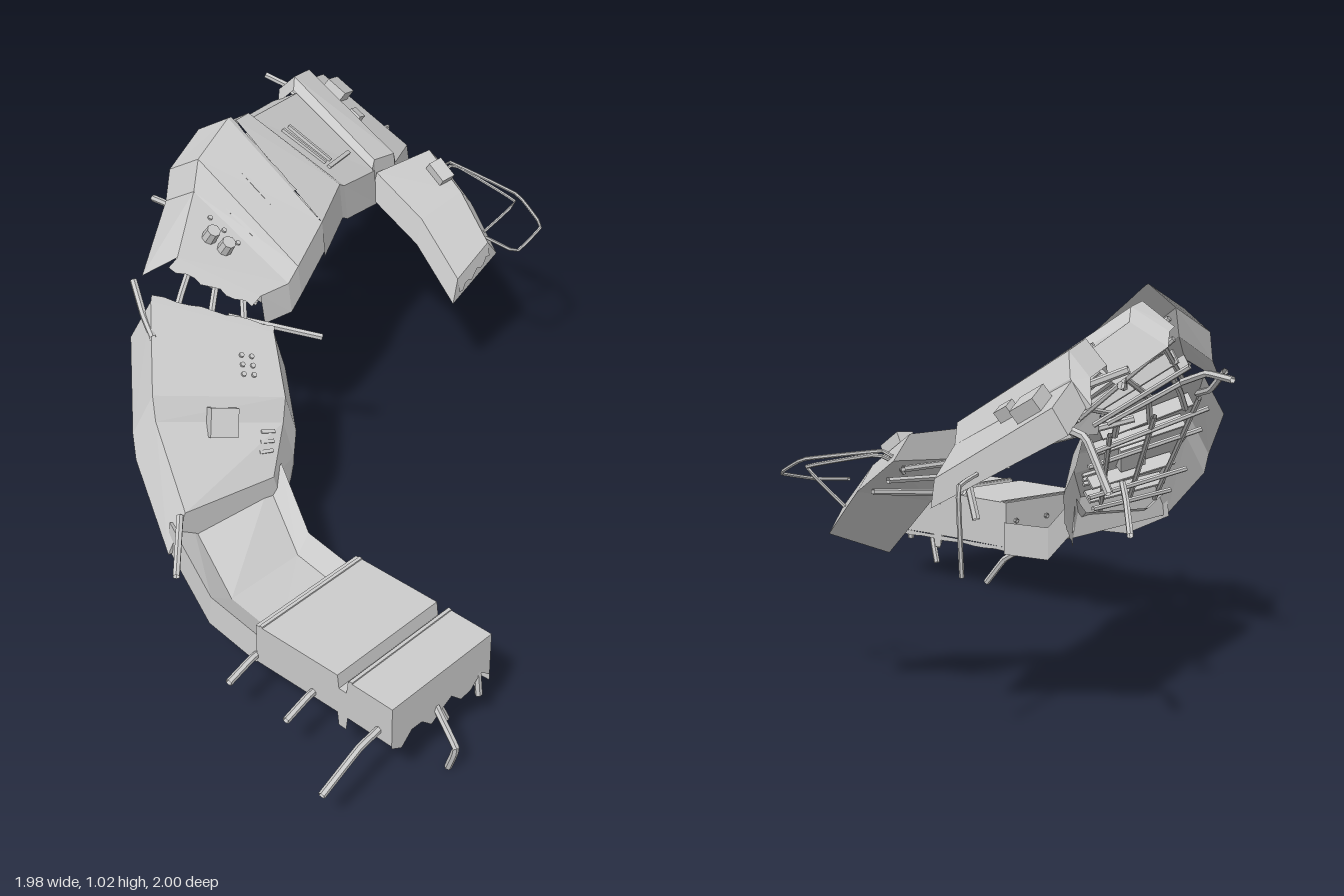
import * as THREE from 'three';

const metal = new THREE.MeshStandardMaterial({ color: 0xcccccc, flatShading: true, side: THREE.DoubleSide });
const V = (x, y, z) => new THREE.Vector3(x, y, z);
const mix = (p, q, t) => p.clone().lerp(q, t);

// A hull section from its outer and inner deck edges; skirts flare and drop by rule
function section(flareOut, dropOut, flareIn, dropIn, stations) {
  return stations.map(([ax, ay, az, bx, by, bz]) => {
    const a = V(ax, ay, az), b = V(bx, by, bz);
    const out = V(ax - bx, 0, az - bz).normalize();
    const skirtOut = a.clone().addScaledVector(out, flareOut);
    const skirtIn = b.clone().addScaledVector(out, -flareIn);
    skirtOut.y -= dropOut;
    skirtIn.y -= dropIn;
    return [skirtOut, a, b, skirtIn];
  });
}

// Straight front deck with a groove across it
const frontDeck = section(0, .12, 0, .14, [[.91, .29], [.765, .29], [.76, .25], [.735, .25], [.73, .29], [.45, .285]]
  .map(([z, y]) => [-.77, y, z, -.4, y + .005, z]));
const sunkenRim = section(.01, .08, 0, .1, [
  [-.76, .24, .45, -.39, .23, .45], [-.745, .25, .26, -.37, .24, .25], [-.68, .34, .04, -.31, .36, .09]]);
const risingHull = section(.06, .11, .03, .12, [
  [-.65, .37, .07, -.36, .35, .11], [-.57, .53, -.12, -.25, .44, .04],
  [-.55, .59, -.15, -.22, .5, .02], [-.39, .74, -.32, -.13, .61, -.11]]);
const crestHull = section(.1, .06, .01, .09, [
  [-.25, .8, -.36, -.1, .68, -.19], [-.06, .88, -.49, .0, .68, -.18],
  [-.02, .96, -.51, .05, .71, -.19], [.12, 1.03, -.53, .2, .77, -.24]]);
const backHull = section(.1, .06, .01, .11, [
  [.18, .99, -.56, .2, .77, -.24], [.25, .98, -.58, .37, .79, -.33],
  [.28, .945, -.6, .4, .77, -.34], [.58, .885, -.7, .61, .71, -.41]]);
const collar = section(.06, .06, .01, .1, [
  [.56, .9, -.7, .6, .72, -.41], [.585, .93, -.72, .62, .74, -.42],
  [.68, .91, -.75, .72, .72, -.43], [.72, .85, -.79, .75, .67, -.45]]);
const tailHull = section(.04, .06, .01, .07, [[.71, .85, -.79, .75, .67, -.45], [.85, .8, -.85, .93, .62, -.56]]);
const chunk = section(.02, .08, .05, .06, [
  [.62, .7, -.41, .84, .7, -.39], [.66, .58, -.26, .83, .61, -.25], [.66, .43, -.11, .81, .49, -.12]]);

// Trough between the two rims of the sunken deck
const sunkenDeck = sunkenRim.map(([o, a, b, c]) => {
  const floor = [.2, .88].map((t) => mix(a, b, t).setY(mix(a, b, t).y - .05));
  return [o, a, ...floor, b, c];
});

function part(name, geometry) {
  const mesh = new THREE.Mesh(geometry, metal);
  mesh.name = name;
  return mesh;
}

function surface(name, rows, closed = false) {
  const points = [];
  for (let i = 0; i < rows.length - 1; i++) {
    const n = rows[i].length;
    for (let j = 0; j < (closed ? n : n - 1); j++) {
      const k = (j + 1) % n;
      const [a, b, c, d] = [rows[i][j], rows[i + 1][j], rows[i + 1][k], rows[i][k]];
      points.push(a, b, c, a, c, d);
    }
  }
  const geometry = new THREE.BufferGeometry().setFromPoints(points);
  geometry.computeVertexNormals();
  return part(name, geometry);
}

// Rod with bends at the given points
function rod(name, points, radius = .008) {
  const curve = new THREE.CatmullRomCurve3(points, false, 'catmullrom', .1);
  return part(name, new THREE.TubeGeometry(curve, points.length * 4, radius, 6));
}

// Loose rod that sags in the second half
function bentRod(start, end, sag = .02) {
  const middle = mix(start, end, .5);
  middle.y += sag;
  return rod('bentRod', [start, middle, end], .01);
}

// Ragged strip hanging off the line p-q
function tornEdge(p, q, direction, depth) {
  const top = [], low = [];
  for (let i = 0; i <= 10; i++) {
    top.push(mix(p, q, i / 10));
    low.push(top[i].clone().addScaledVector(direction, depth * (.85 + .15 * Math.sin(i * 1.9))));
  }
  return surface('tornEdge', [top, low]);
}

// Place on a deck panel: u along, t across, with local axes
function frame(rows, i, u, t, lift) {
  const [, a0, b0] = rows[i], [, a1, b1] = rows[i + 1];
  const p = mix(a0, a1, u), q = mix(b0, b1, u);
  const across = q.clone().sub(p).normalize();
  const along = mix(a1, b1, t).sub(mix(a0, b0, t));
  const up = along.cross(across).normalize();
  if (up.y < 0) up.negate();
  return { at: p.lerp(q, t).addScaledVector(up, lift), across, up };
}

function fitting(name, geometry, rows, i, u, t, lift = 0) {
  const { at, across, up } = frame(rows, i, u, t, lift);
  const mesh = part(name, geometry);
  mesh.quaternion.setFromRotationMatrix(new THREE.Matrix4().makeBasis(across, up, across.clone().cross(up)));
  mesh.position.copy(at);
  return mesh;
}

// Stringers along a section and ribs across it
function addFraming(root, rows) {
  const last = rows.length - 2;
  for (const t of [.12, .5, .88]) {
    const ends = [frame(rows, 0, .02, t, -.06).at, frame(rows, last, 1.03, t, -.06).at];
    const inner = [];
    for (let i = 1; i < last; i++) {
      if (rows[i][1].distanceTo(rows[i + 1][1]) > .08) inner.push(frame(rows, i, .5, t, -.06).at);
    }
    root.add(rod('stringer', [ends[0], ...inner, ends[1]]));
  }
  for (let i = 0; i <= last; i++) {
    const count = Math.round(rows[i][1].distanceTo(rows[i + 1][1]) / .14);
    for (let k = 0; k < count; k++) {
      const u = (k + .5) / count;
      root.add(rod('rib', [.02, .5, .98].map((t) => frame(rows, i, u, t, -.07).at)));
      root.add(fitting('ribWeb', new THREE.BoxGeometry(.28, .04, .01), rows, i, u, .5, -.025));
    }
  }
}

export function createModel() {
  const root = new THREE.Group();
  const box = (x, y, z) => new THREE.BoxGeometry(x, y, z);
  const bolt = (r, h) => new THREE.CylinderGeometry(r, r * 1.1, h, 8);

  // Hull shells and their framing
  const shells = { frontDeck, risingHull, crestHull, backHull, collar, tailHull };
  for (const [name, rows] of Object.entries(shells)) {
    root.add(surface(name, rows));
    addFraming(root, rows);
  }
  root.add(surface('sunkenDeck', sunkenDeck), surface('brokenChunk', chunk, true));

  // Bulkheads closing the ends and steps
  for (const [o, a, b, c] of [frontDeck[5], risingHull[0], collar[3], tailHull[1], chunk[0], chunk[2]]) {
    root.add(surface('bulkhead', [[o, c], [a, b]]));
  }

  // Torn plate edges
  const down = V(0, -1, 0);
  const [, frontLeft, frontRight, frontSkirt] = frontDeck[0];
  root.add(tornEdge(frontLeft, frontRight, down, .15));
  root.add(tornEdge(frontSkirt, frontDeck[5][3], down, .015));
  root.add(tornEdge(risingHull[0][3], risingHull[1][3], down, .03));
  root.add(tornEdge(risingHull[3][1], risingHull[3][2], V(.6, .3, -.5), .03));
  root.add(tornEdge(crestHull[0][1], crestHull[0][2], V(-.8, -.4, 0), .05));
  root.add(tornEdge(crestHull[3][1], mix(crestHull[3][1], crestHull[3][2], .7), V(.9, -.2, -.2), .02));
  root.add(tornEdge(chunk[2][1], chunk[2][2], V(.1, -.9, .1), .06));

  // Hatches and deck trims
  root.add(fitting('hatch', box(.08, .05, .08), risingHull, 1, 0, .5, .01));
  root.add(fitting('hatch', box(.07, .05, .08), tailHull, 0, .55, .22, .01));
  root.add(fitting('hatch', box(.04, .04, .04), tailHull, 0, .12, .5, .01));
  root.add(fitting('hatch', box(.05, .04, .07), chunk, 0, .5, .85, .01));
  root.add(fitting('longTrim', box(.012, .012, .17), backHull, 2, .5, .75));
  for (const u of [.2, .34]) root.add(fitting('crossTrim', box(.16, .012, .012), backHull, 2, u, .48));
  root.add(fitting('deckSeam', box(.37, .008, .01), frontDeck, 0, .94, .5));
  root.add(fitting('deckSeam', box(.37, .008, .01), frontDeck, 4, .94, .5));

  // Rows of bolts, vents and knobs
  for (let k = 0; k < 3; k++) {
    for (const t of [.7, .78]) root.add(fitting('bolt', bolt(.007, .012), risingHull, 2, .3 + k * .13, t));
    root.add(fitting('bolt', bolt(.007, .012), crestHull, 0, .85, .2 + k * .15));
    root.add(fitting('vent', box(.04, .014, .01), risingHull, 0, .5 + k * .17, .88));
  }
  for (const t of [.25, .42]) root.add(fitting('knob', bolt(.02, .04), crestHull, 0, .55, t, .02));

  // Rods sticking out sideways and hanging from the front deck
  root.add(bentRod(V(-.7, .2, .86), V(-.99, .15, .885)));
  for (const z of [.44, .64]) root.add(bentRod(V(-.7, .18, z), V(-.88, .17, z + .02), .01));
  root.add(rod('hangingRod', [V(-.6, .2, .89), V(-.61, .1, .98), V(-.6, .01, .95)], .01));
  root.add(bentRod(V(-.59, .2, .85), V(-.53, .08, .88)));
  root.add(bentRod(V(-.44, .25, .89), V(-.44, .12, .91)));
  root.add(bentRod(V(-.42, .15, .4), V(-.395, .03, .53)));

  // Rods around the broken middle joints
  root.add(bentRod(V(-.3, .42, -.1), V(-.13, .31, -.27)));
  root.add(bentRod(V(-.66, .36, .06), V(-.79, .3, .18), 0));
  root.add(bentRod(V(-.18, .63, -.24), V(0, .56, -.05), 0));
  root.add(bentRod(V(-.06, .76, -.5), V(-.045, .78, -.68)));
  root.add(bentRod(V(-.45, .68, -.25), V(-.37, .76, -.41), -.02));
  for (const t of [.2, .5, .8]) {
    root.add(bentRod(frame(risingHull, 2, .8, t, -.05).at, frame(crestHull, 0, .2, t, -.05).at, .01));
    root.add(bentRod(frame(crestHull, 2, .8, t, -.07).at, frame(backHull, 0, .4, t, -.07).at, -.01));
  }

  // Rods at the tail
  root.add(bentRod(V(.42, .8, -.7), V(.54, .82, -.79)));
  root.add(bentRod(V(.68, .82, -.77), V(.62, .87, -.88), 0));
  root.add(bentRod(V(.8, .75, -.84), V(.83, .62, -1), .05));
  root.add(rod('hangingRod', [V(.88, .64, -.66), V(.985, .62, -.69), V(.965, .41, -.68)], .006));
  root.add(bentRod(V(.74, .62, -.46), V(.76, .5, -.53)));

  // Wire loops and ribs on the broken chunk
  root.add(rod('wireLoop', [V(.75, .55, -.08), V(.76, .54, .03), V(.89, .57, .02),
    V(.92, .62, -.1), V(.88, .66, -.35), V(.83, .6, -.36)], .005));
  root.add(rod('wireLoop', [V(.84, .62, -.36), V(.89, .65, -.33), V(.91, .6, -.1), V(.84, .5, -.16)], .005));
  for (const u of [.1, .5, .9]) root.add(rod('rib', [0, 1.2].map((t) => frame(chunk, 0, u, t, -.08).at)));

  return root;
}
